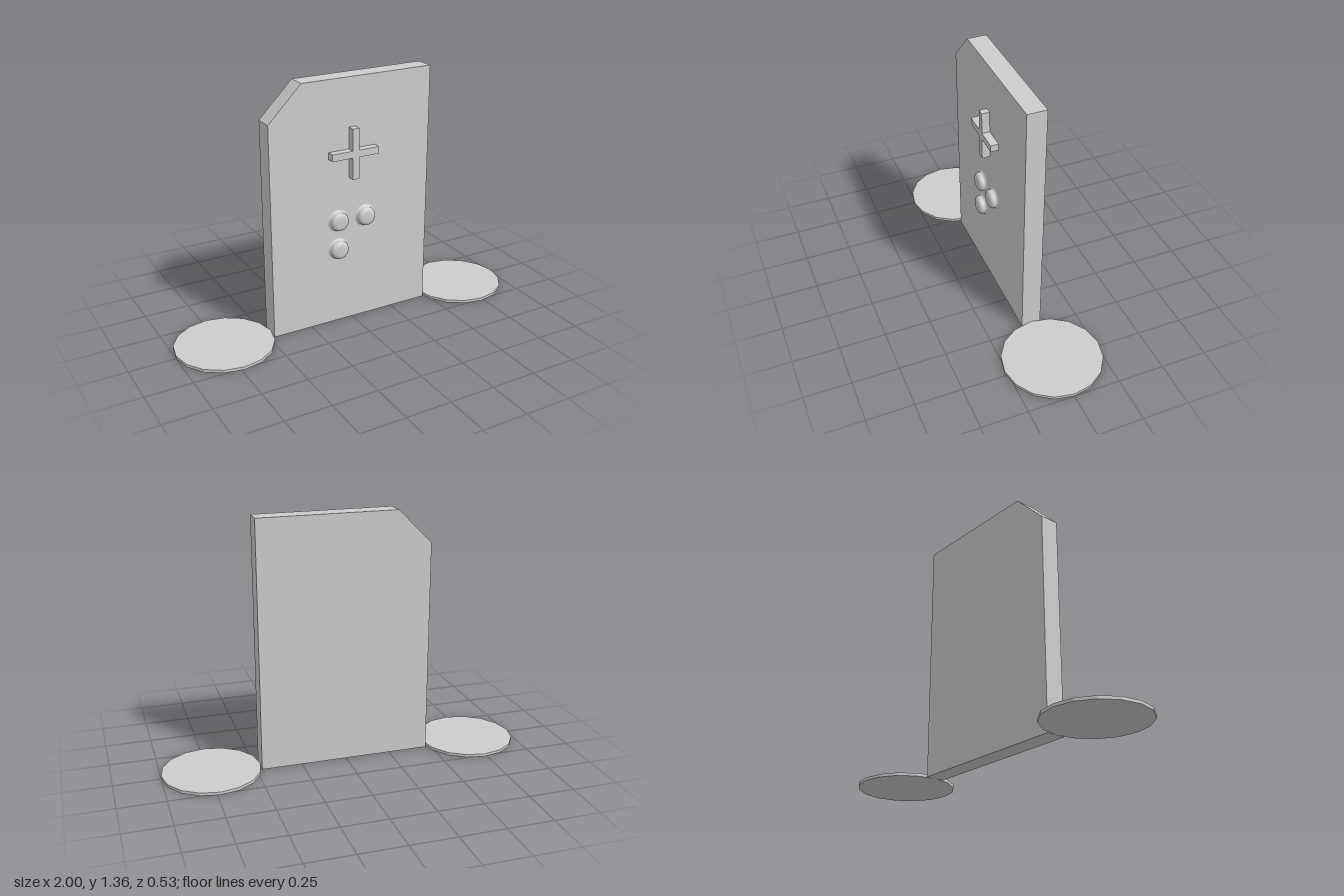
import * as THREE from 'three';

export function createModel() {
  const group = new THREE.Group();
  const grey = new THREE.MeshStandardMaterial({ color: 0xcccccc });
  grey.name = 'light grey';

  const add = (name, geometry, x = 0, y = 0, z = 0) => {
    const mesh = new THREE.Mesh(geometry, grey);
    mesh.name = name;
    mesh.position.set(x, y, z);
    group.add(mesh);
    return mesh;
  };
  const extrude = (points, depth) => new THREE.ExtrudeGeometry(
    new THREE.Shape(points.map(([x, y]) => new THREE.Vector2(x, y))),
    { depth, bevelEnabled: false });

  // Upright slab with one clipped top corner
  add('body', extrude([
    [-0.47, 0], [0.47, 0], [0.47, 1.36], [-0.285, 1.36], [-0.47, 1.175],
  ], 0.105), 0, 0, -0.051);
  const face = 0.054;

  // Raised plus sign as a single outline
  const a = 0.019, b = 0.137;
  add('cross', extrude([
    [-a, -b], [a, -b], [a, -a], [b, -a], [b, a], [a, a],
    [a, b], [-a, b], [-a, a], [-b, a], [-b, -a], [-a, -a],
  ], 0.043), 0, 0.961, face);

  // Three domed buttons with a flared foot
  const profile = new THREE.SplineCurve([
    [0.061, 0], [0.054, 0.005], [0.05, 0.012], [0.051, 0.02],
    [0.046, 0.031], [0.034, 0.038], [0.018, 0.04], [0, 0.041],
  ].map(([r, h]) => new THREE.Vector2(r, h))).getPoints(20);
  profile[profile.length - 1].x = 0;
  const button = new THREE.LatheGeometry(profile, 32).rotateX(Math.PI / 2);
  [[-0.083, 0.592], [0.079, 0.592], [-0.083, 0.43]].forEach(([x, y], i) =>
    add('button' + (i + 1), button, x, y, face));

  // Flat sixteen-sided feet on both sides
  const foot = new THREE.CylinderGeometry(0.265, 0.265, 0.016, 16).toNonIndexed();
  foot.computeVertexNormals();
  add('leftFoot', foot, 0.735, 0.008, 0);
  add('rightFoot', foot, -0.735, 0.008, 0);

  return group;
}
